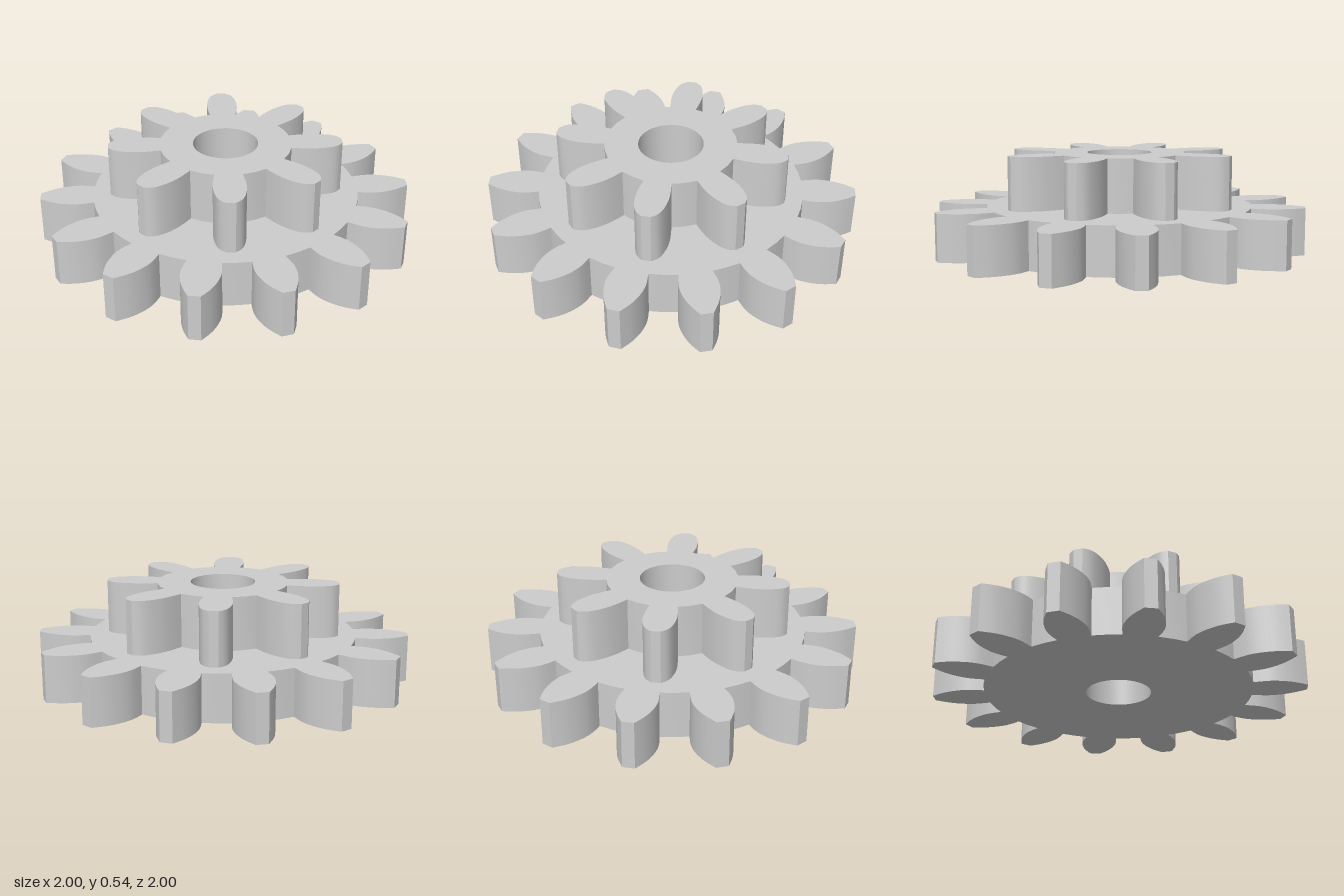
import * as THREE from 'three';
import { toCreasedNormals } from 'three/addons/utils/BufferGeometryUtils.js';

const BORE = 0.174;
const deg = Math.PI / 180;

// Flank: [half angle in degrees, radius] from the root to the tip, mirrored for each tooth
function gearGeometry(teeth, phase, flank, height) {
  const curve = new THREE.SplineCurve(
    flank.map(([a, r]) => new THREE.Vector2(a * deg * r, r))
  );
  const side = curve.getPoints(12).map((p) => [p.x / p.y, p.y]);
  const outline = [];
  for (let i = 0; i < teeth; i++) {
    const mid = phase * deg + (i / teeth) * Math.PI * 2;
    const put = (a, r) =>
      outline.push(new THREE.Vector2(r * Math.sin(mid + a), r * Math.cos(mid + a)));
    side.forEach(([a, r]) => put(-a, r));
    [...side].reverse().forEach(([a, r]) => put(a, r));
    // middle of the root between two teeth
    put(Math.PI / teeth, flank[0][1]);
  }
  // the outline runs clockwise, the bore counter-clockwise
  const shape = new THREE.Shape(outline);
  const bore = new THREE.Path();
  bore.absarc(0, 0, BORE, 0, Math.PI * 2, false);
  shape.holes.push(bore);
  const geometry = new THREE.ExtrudeGeometry(shape, {
    depth: height, bevelEnabled: false, curveSegments: 32,
  });
  geometry.rotateX(-Math.PI / 2);
  return toCreasedNormals(geometry, 0.4);
}

export function createModel() {
  const group = new THREE.Group();
  group.name = 'doubleGear';
  const grey = new THREE.MeshStandardMaterial({ color: 0xcccccc });
  grey.name = 'grey';

  // Wide lower gear with pointed, flat-tipped teeth
  const large = new THREE.Mesh(gearGeometry(14, 5.7, [
    [6.9, 0.718], [7.2, 0.77], [7.0, 0.82], [5.9, 0.88], [4.2, 0.94], [1.8, 1.002],
  ], 0.255), grey);
  large.name = 'largeGear';

  // Narrow upper gear with rounded teeth
  const small = new THREE.Mesh(gearGeometry(8, -11.7, [
    [11.7, 0.353], [11.2, 0.42], [9.9, 0.49], [7.5, 0.56], [5.2, 0.6], [2.2, 0.625],
  ], 0.285), grey);
  small.name = 'smallGear';
  small.position.y = 0.255;

  group.add(large, small);
  return group;
}
